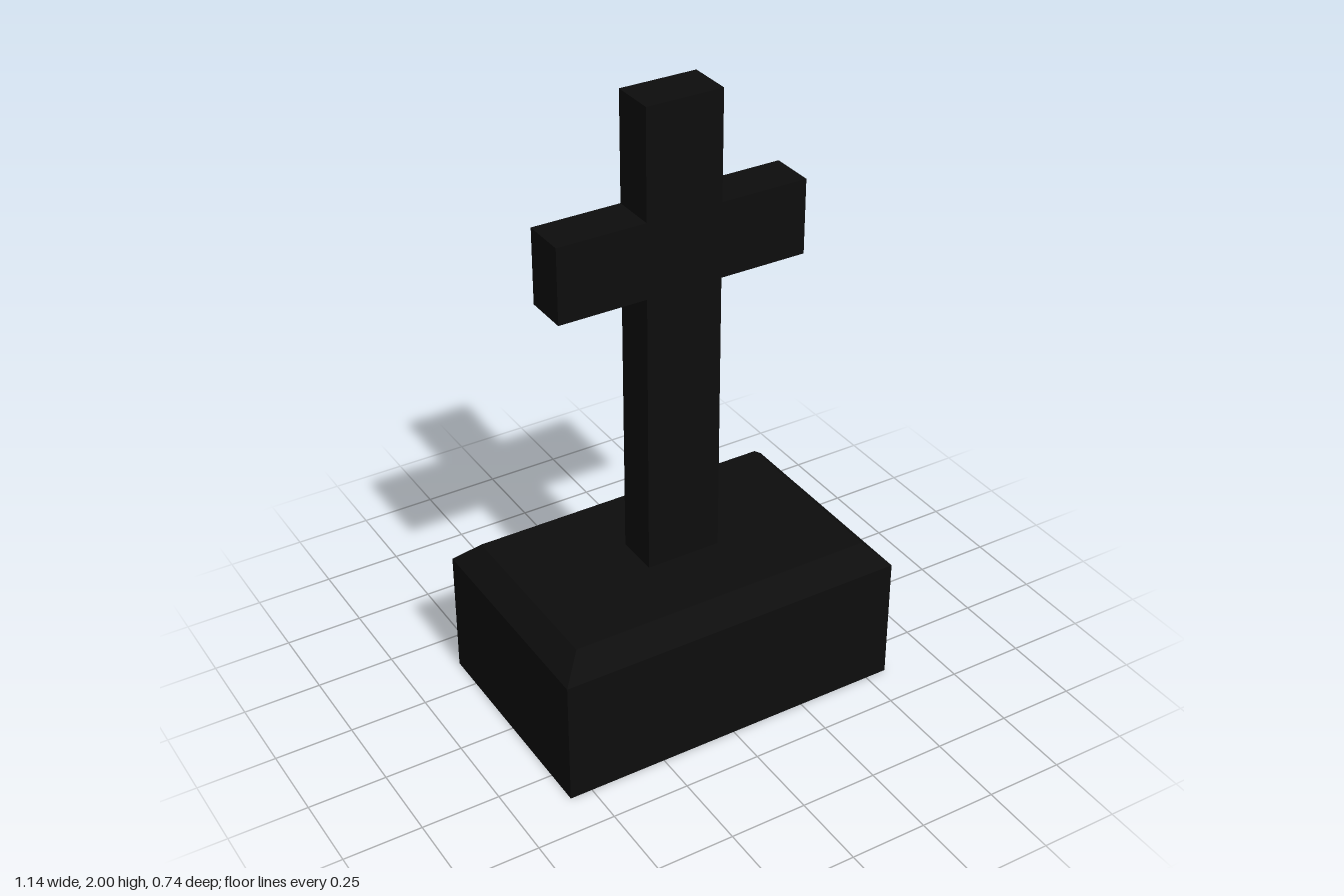
import * as THREE from 'three';

// Open-bottomed shell through rectangular rings [halfX, y, halfZ], capped at the top
function ringShell(rings) {
  const corners = ([x, y, z]) => [[-x, y, z], [x, y, z], [x, y, -z], [-x, y, -z]];
  const positions = [];
  const quad = (a, b, c, d) => positions.push(...a, ...b, ...c, ...a, ...c, ...d);
  for (let i = 0; i < rings.length - 1; i++) {
    const low = corners(rings[i]);
    const high = corners(rings[i + 1]);
    for (let k = 0; k < 4; k++) {
      const n = (k + 1) % 4;
      quad(low[k], low[n], high[n], high[k]);
    }
  }
  quad(...corners(rings[rings.length - 1]));
  const geometry = new THREE.BufferGeometry();
  geometry.setAttribute('position', new THREE.Float32BufferAttribute(positions, 3));
  geometry.computeVertexNormals();
  return geometry;
}

export function createModel() {
  const model = new THREE.Group();
  model.name = 'graveCross';

  const blackStone = new THREE.MeshStandardMaterial({ color: 0x0d0d0d, side: THREE.DoubleSide });
  blackStone.name = 'blackStone';

  // Hollow plinth with a bevelled top edge
  const plinth = new THREE.Mesh(
    ringShell([[0.572, 0, 0.368], [0.572, 0.415, 0.368], [0.502, 0.485, 0.3]]),
    blackStone
  );
  plinth.name = 'plinth';
  model.add(plinth);

  // Upright and arms cut from one slab
  const post = 0.123, arm = 0.406, depth = 0.142;
  const half = [[post, 0.485], [post, 1.415], [arm, 1.415], [arm, 1.655], [post, 1.655], [post, 2]];
  const mirrored = half.map(([x, y]) => [-x, y]).reverse();
  const outline = new THREE.Shape([...half, ...mirrored].map(([x, y]) => new THREE.Vector2(x, y)));
  const slab = new THREE.ExtrudeGeometry(outline, { depth, bevelEnabled: false });
  slab.translate(0, 0, -depth / 2);
  const cross = new THREE.Mesh(slab, blackStone);
  cross.name = 'cross';
  model.add(cross);

  return model;
}
